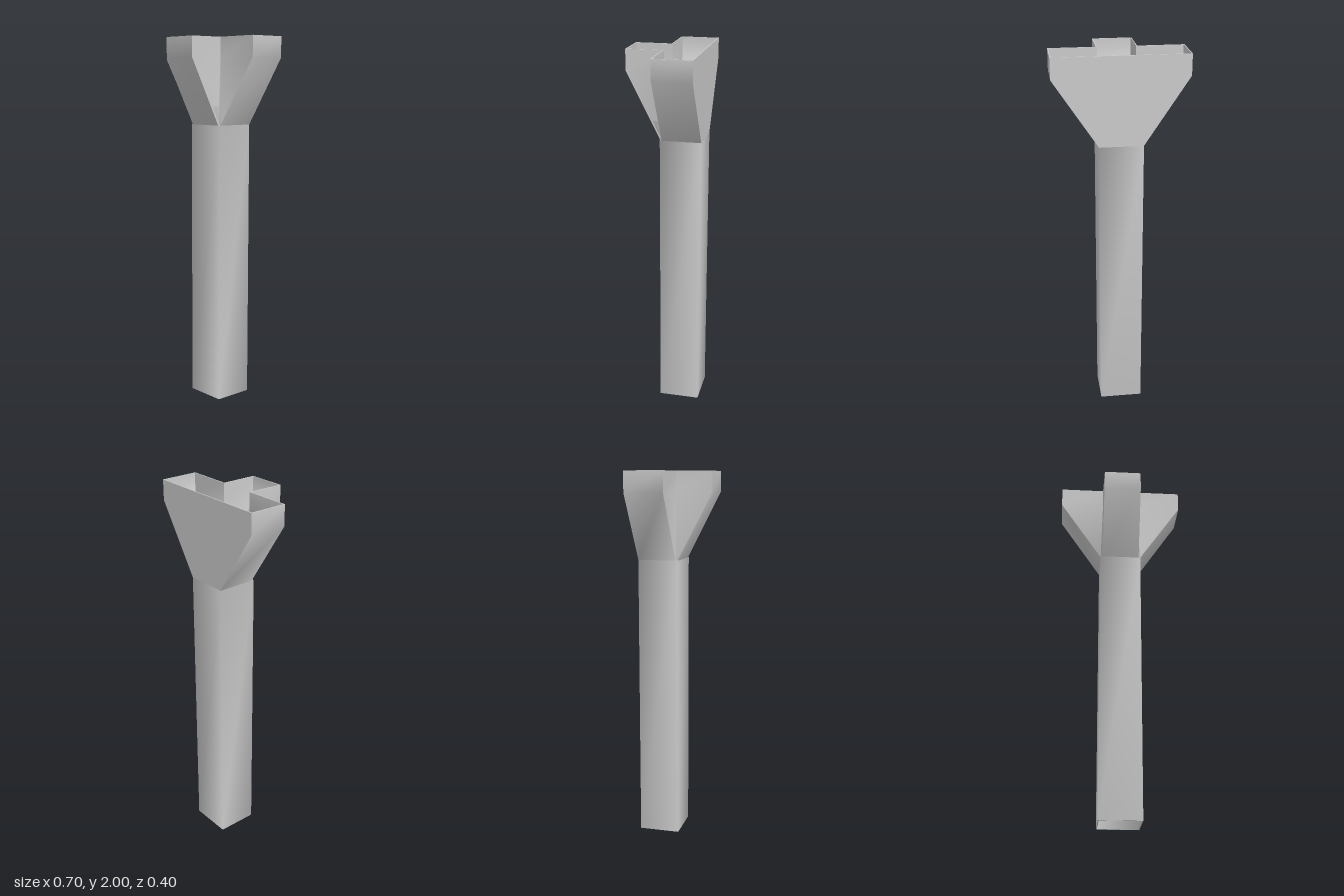
import * as THREE from 'three';
import { toCreasedNormals } from 'three/addons/utils/BufferGeometryUtils.js';

const WALL = 0.005;

// Skin a series of closed [x, z] sections, each placed at a height y.
function loft(rings, crease) {
  const n = rings[0].pts.length, pos = [], index = [];
  for (const { y, pts } of rings) for (const [x, z] of pts) pos.push(x, y, z);
  for (let r = 0; r < rings.length - 1; r++) {
    for (let i = 0; i < n; i++) {
      const a = r * n + i, b = r * n + (i + 1) % n;
      index.push(a, a + n, b, b, a + n, b + n);
    }
  }
  const g = new THREE.BufferGeometry();
  g.setAttribute('position', new THREE.Float32BufferAttribute(pos, 3));
  g.setIndex(index);
  g.computeVertexNormals();
  return crease ? toCreasedNormals(g, crease) : g;
}

// Mirror the +x half of a section (listed back to front) to the other side.
const mirror = (half) => [...half, ...half.slice().reverse().map(([x, z]) => [-x, z])];

// Shrink a section by the wall thickness: sides move in, front and back move in.
const inset = ({ y, pts }) => ({
  y,
  pts: pts.map(([x, z]) => [x - Math.sign(x) * WALL, z + (z < -0.1 ? WALL : -WALL)]),
});

export function createModel() {
  const group = new THREE.Group();
  const material = new THREE.MeshStandardMaterial({ color: 0xcccccc, side: THREE.DoubleSide });
  const add = (name, geometry) => {
    const mesh = new THREE.Mesh(geometry, material);
    mesh.name = name;
    group.add(mesh);
  };

  // T-shaped hopper: straight rim, then tapering down to the shaft
  const tee = mirror([[0.35, -0.2], [0.35, 0.006], [0.105, 0.006], [0.105, 0.2]]);
  const neck = mirror([[0.115, -0.2], [0.115, 0.006], [0.112, 0.01], [0.105, 0.02]]);
  const hopper = [{ y: 1.535, pts: neck }, { y: 1.89, pts: tee }, { y: 2, pts: tee }];
  add('hopper', loft([...hopper, ...hopper.map(inset).reverse()], 1.0));

  // Hollow rectangular shaft, softly shaded around its corners
  const rect = mirror([[0.115, -0.2], [0.115, 0.02]]);
  const shaft = [{ y: 0, pts: rect }, { y: 1.535, pts: rect }];
  const inner = shaft.map(inset);
  add('shaftOuterWall', loft(shaft));
  add('shaftInnerWall', loft([inner[1], inner[0]]));
  add('shaftBottomRim', loft([inner[0], shaft[0]]));
  add('shaftTopRim', loft([shaft[1], inner[1]]));

  return group;
}
